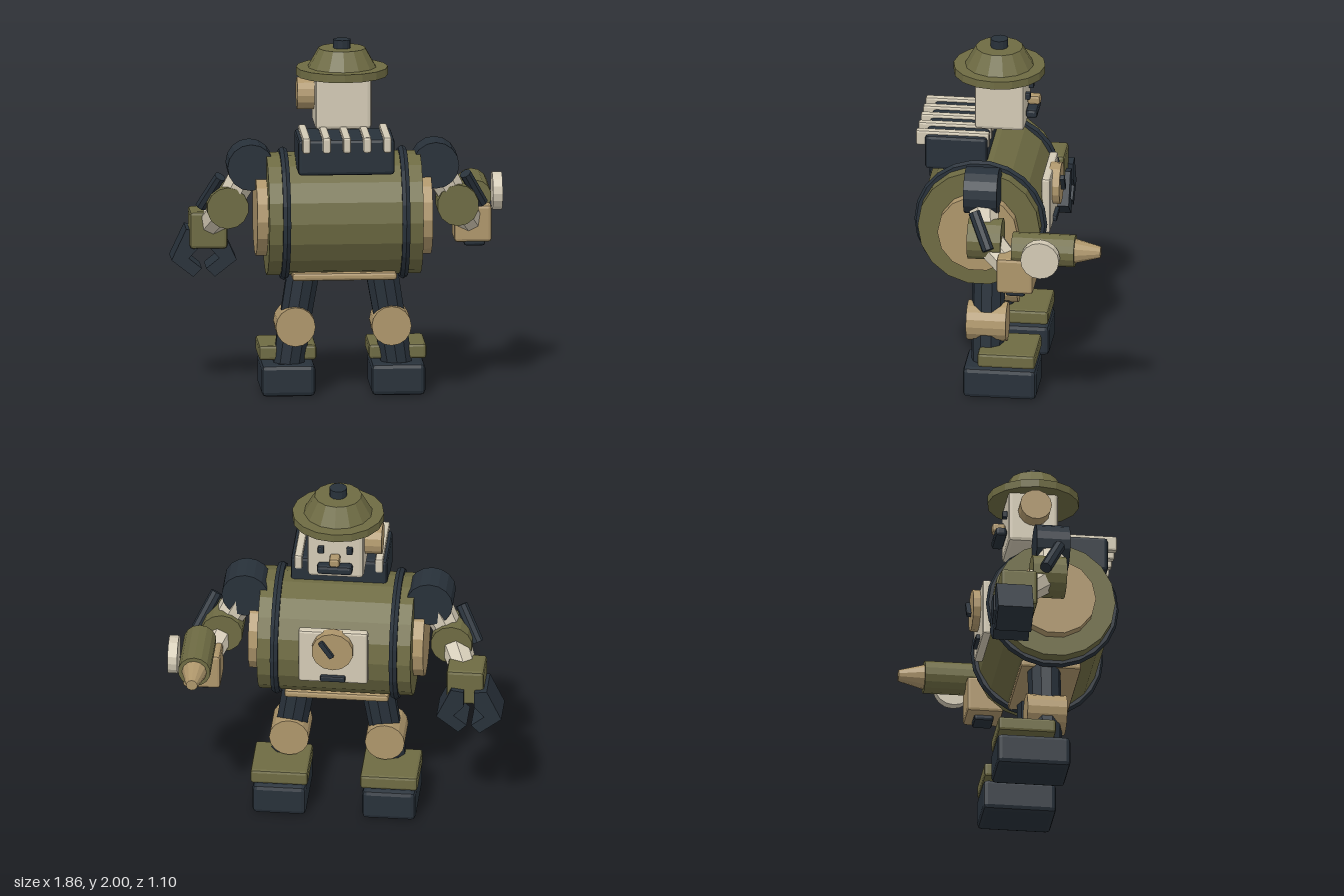
import * as THREE from 'three';
import { RoundedBoxGeometry } from 'three/addons/geometries/RoundedBoxGeometry.js';

const paint = (color) => new THREE.MeshStandardMaterial({ color, flatShading: true });

export function createModel() {
  const model = new THREE.Group();
  const robot = new THREE.Group();
  robot.name = 'robot';
  robot.position.x = 0.012; // the left hand reaches slightly less far than the claw
  model.add(robot);

  const olive = paint(0x6e6b43), dark = paint(0x28313a), cream = paint(0xd3cab5), tan = paint(0xae966b);

  const add = (name, geometry, material, x = 0, y = 0, z = 0) => {
    const mesh = new THREE.Mesh(geometry, material);
    mesh.name = name;
    mesh.position.set(x, y, z);
    robot.add(mesh);
    return mesh;
  };
  // Box with bevelled edges
  const box = (name, material, w, h, d, x, y, z, bevel = 0.015) =>
    add(name, new RoundedBoxGeometry(w, h, d, 1, bevel), material, x, y, z);
  // Cylinder or cone from point a (radius ra) to point b (radius rb)
  const rod = (name, material, a, b, ra, rb = ra, sides = 12) => {
    const from = new THREE.Vector3(...a), to = new THREE.Vector3(...b);
    const dir = to.clone().sub(from);
    const mid = from.clone().add(to).multiplyScalar(0.5);
    const mesh = add(name, new THREE.CylinderGeometry(rb, ra, dir.length(), sides), material, mid.x, mid.y, mid.z);
    mesh.quaternion.setFromUnitVectors(new THREE.Vector3(0, 1, 0), dir.normalize());
    return mesh;
  };

  // Barrel body lying along x
  const by = 1.028, bz = 0.17;
  rod('barrelBody', olive, [-0.43, by, bz], [0.43, by, bz], 0.343, 0.343, 18);
  rod('endCaps', tan, [-0.49, by - 0.008, bz], [0.49, by - 0.008, bz], 0.226, 0.226, 14);
  for (const s of [-1, 1]) {
    add('barrelHoop', new THREE.TorusGeometry(0.348, 0.025, 6, 22), dark, s * 0.333, by, bz).rotation.y = Math.PI / 2;
  }
  box('bellyPlate', tan, 0.585, 0.045, 0.34, 0, 0.695, bz);

  // Rear vent block with ribs
  box('ventBlock', dark, 0.54, 0.205, 0.35, 0, 1.402, 0.318, 0.02);
  for (let i = -2; i <= 2; i++) {
    box('ventRib', cream, 0.045, 0.09, 0.413, i * 0.113, 1.48, 0.34, 0.012);
  }

  // Chest panel with dial and slot
  box('chestPanel', cream, 0.39, 0.33, 0.05, 0, 1.075, -0.177, 0.014);
  rod('dial', tan, [0, 1.135, -0.18], [0, 1.135, -0.243], 0.117, 0.117, 14);
  box('dialPointer', dark, 0.03, 0.115, 0.03, 0.033, 1.155, -0.253, 0.006).rotation.z = -0.6;
  box('panelSlot', dark, 0.14, 0.035, 0.03, 0, 0.945, -0.21, 0.008);

  // Head, face and ear
  box('head', cream, 0.315, 0.31, 0.28, 0, 1.662, 0.088, 0.022);
  for (const s of [-1, 1]) box('eye', dark, 0.035, 0.042, 0.03, s * 0.08, 1.695, -0.064, 0.007);
  box('nose', tan, 0.06, 0.055, 0.075, 0, 1.643, -0.09, 0.015);
  box('moustache', dark, 0.2, 0.055, 0.065, 0, 1.588, -0.085, 0.018);
  rod('ear', tan, [-0.15, 1.693, 0.09], [-0.252, 1.693, 0.09], 0.089, 0.089, 14);

  // Helmet
  const hz = 0.106;
  rod('helmetBrim', olive, [0, 1.8, hz], [0, 1.846, hz], 0.257, 0.257, 16);
  rod('helmetCrown', olive, [0, 1.846, hz], [0, 1.952, hz], 0.192, 0.132, 14);
  rod('helmetKnob', dark, [0, 1.94, hz], [0, 2, hz], 0.049, 0.049, 12);

  for (const s of [-1, 1]) {
    // Leg
    const knee = [s * 0.268, 0.395, 0.138];
    rod('upperLeg', dark, [s * 0.208, 0.76, 0.138], knee, 0.095, 0.09, 10);
    rod('kneeJoint', tan, [knee[0], knee[1], 0.25], [knee[0], knee[1], 0.027], 0.111, 0.111, 16);
    rod('lowerLeg', dark, knee, [s * 0.307, 0.13, 0.138], 0.095, 0.088, 10);
    box('foot', dark, 0.3, 0.18, 0.412, s * 0.307, 0.09, 0.053, 0.026);
    box('footGuard', olive, 0.322, 0.084, 0.324, s * 0.307, 0.235, 0.013, 0.016);

    // Arm
    const shoulder = [s * 0.516, 1.3, 0.14], elbow = [s * 0.643, 1.065, 0.105];
    rod('shoulderJoint', dark, [s * 0.516, 1.3, 0.233], [s * 0.516, 1.3, 0.045], 0.131, 0.131, 16);
    rod('upperArm', cream, shoulder, elbow, 0.094, 0.078, 8);
    rod('elbowJoint', olive, [elbow[0], elbow[1], 0.2], [elbow[0], elbow[1], 0.01], 0.117, 0.117, 14);
    rod('armPiston', dark, [s * 0.685, 1.24, 0.165], [s * 0.785, 1.055, 0.075], 0.034, 0.034, 8);
    rod('forearm', cream, elbow, [s * 0.735, 0.915, -0.06], 0.09, 0.075, 8);
    box('wrist', s < 0 ? olive : tan, 0.21, 0.21, 0.205, s * 0.738, s < 0 ? 0.905 : 0.925, -0.08, 0.018);
  }

  // Right hand: two-finger gripper
  const finger = [[0.03, 0.26], [0.1, 0.27], [0.182, 0.095], [0.06, 0], [0.012, 0.047], [0.085, 0.105], [0.03, 0.165]];
  for (const s of [-1, 1]) {
    const points = finger.map(([x, y]) => new THREE.Vector2(s * x, y));
    const geometry = new THREE.ExtrudeGeometry(new THREE.Shape(points), { depth: 0.2, bevelEnabled: false });
    add('gripperFinger', geometry, dark, -0.762, 0.637, -0.212);
  }

  // Left hand: cannon with round side shield
  rod('cannonBarrel', olive, [0.756, 1.066, -0.06], [0.756, 1.066, -0.412], 0.091, 0.091, 14);
  rod('cannonNozzle', tan, [0.756, 1.066, -0.41], [0.756, 1.066, -0.555], 0.07, 0.032, 12);
  rod('sideDisc', cream, [0.86, 1.063, -0.23], [0.914, 1.063, -0.23], 0.108, 0.108, 16);
  box('wristVent', dark, 0.12, 0.06, 0.11, 0.75, 0.82, -0.08, 0.015);

  return model;
}
